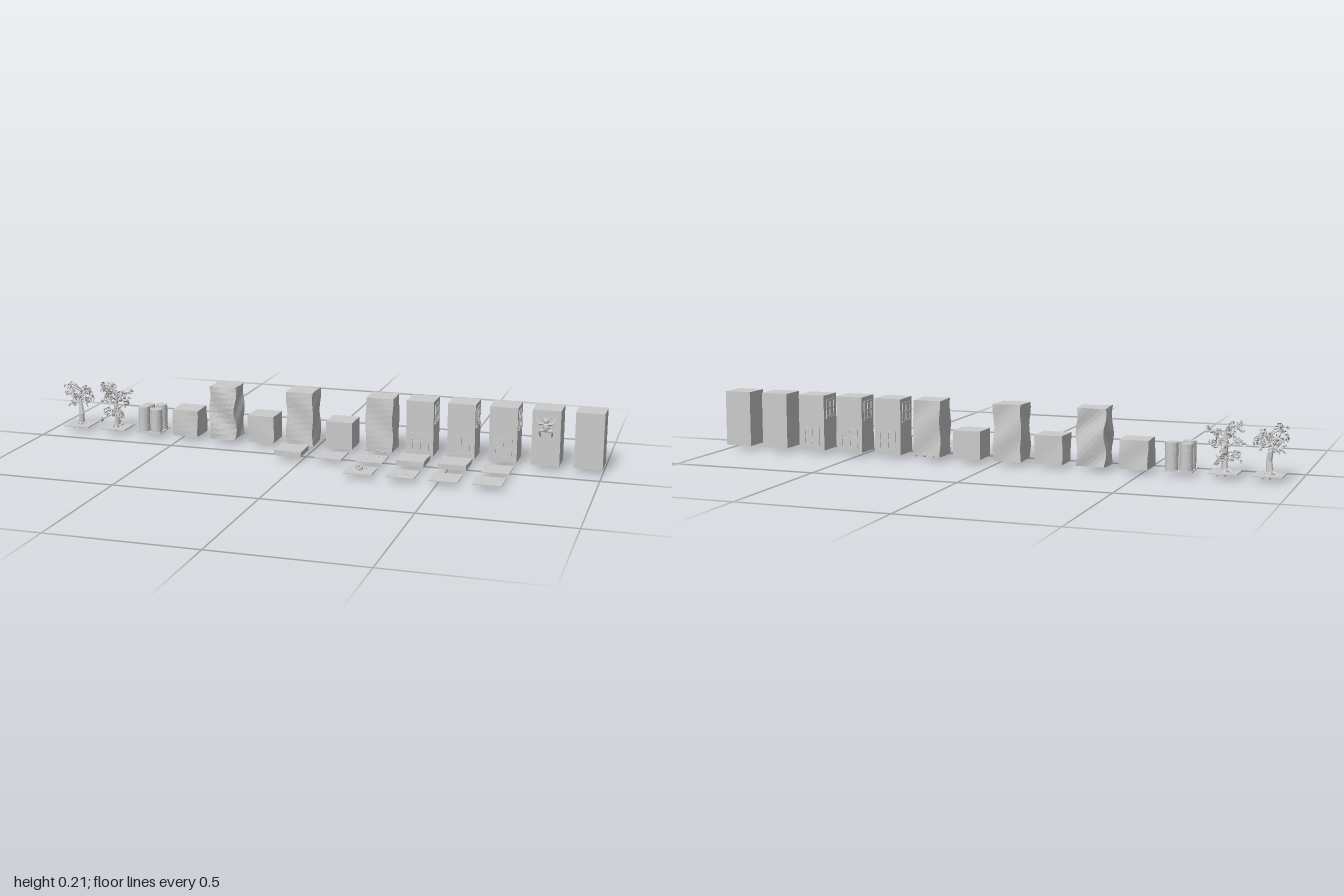
import * as THREE from 'three';

const T = 0.095, BASE = 0.015, PITCH = 0.1429;
const ROW = [-0.127, 0.015, 0.158];
const colX = (i) => 0.952 - i * PITCH;
const mat = new THREE.MeshStandardMaterial({ color: 0xcccccc, flatShading: true });
const smooth = new THREE.MeshStandardMaterial({ color: 0xcccccc });
const thin = new THREE.MeshStandardMaterial({ color: 0xcccccc, flatShading: true, side: THREE.DoubleSide });

let seed = 7;
const rnd = (a = 0, b = 1) => {
  seed = (seed * 16807) % 2147483647;
  return a + (b - a) * seed / 2147483647;
};
const V = (x, y, z) => new THREE.Vector3(x, y, z);

function add(parent, name, geo, x = 0, y = 0, z = 0, m = mat) {
  const mesh = new THREE.Mesh(geo, m);
  mesh.name = name;
  mesh.position.set(x, y, z);
  parent.add(mesh);
  return mesh;
}

// tapered round limb between two points
function limb(parent, name, a, b, r0, r1, sides = 6) {
  const d = b.clone().sub(a);
  const mid = a.clone().add(b).multiplyScalar(0.5);
  const m = add(parent, name, new THREE.CylinderGeometry(r1, r0, d.length(), sides), mid.x, mid.y, mid.z);
  m.quaternion.setFromUnitVectors(V(0, 1, 0), d.normalize());
  return m;
}

// box whose faces are pushed about by smooth waves
function roughBox(w, h, d, amp, phase) {
  const g = new THREE.BoxGeometry(w, h, d, 5, Math.max(1, Math.round(h / 0.02)), 5);
  const p = g.attributes.position;
  for (let i = 0; i < p.count; i++) {
    const x = p.getX(i), y = p.getY(i), z = p.getZ(i);
    p.setXYZ(i,
      x + amp * Math.sin(y * 50 + z * 35 + phase),
      y + (y > 0 ? 0.3 * amp * Math.sin(x * 70 + z * 50 + phase) : 0),
      z + amp * Math.sin(y * 43 + x * 40 + phase * 2));
  }
  g.computeVertexNormals();
  return g;
}

// empty group on one grid cell, with its origin at the tile's underside
function cell(root, name, i, row) {
  const g = new THREE.Group();
  g.name = name;
  g.position.set(colX(i), BASE, ROW[row]);
  root.add(g);
  return g;
}

function block(root, name, i, h, amp = 0) {
  const g = cell(root, name, i, 0);
  const geo = amp ? roughBox(T, h, T, amp, i * 1.7) : new THREE.BoxGeometry(T, h, T);
  add(g, 'wallBlock', geo, 0, h / 2, 0);
  return g;
}

// four-pane window facing +z
function makeWindow() {
  const g = new THREE.Group();
  g.name = 'window';
  const w = 0.062, h = 0.064, t = 0.006, d = 0.006;
  for (const s of [-1, 0, 1]) {
    add(g, 'windowPost', new THREE.BoxGeometry(t, h, d), s * (w - t) / 2, 0, 0);
    add(g, 'windowRail', new THREE.BoxGeometry(w, t, d), 0, s * (h - t) / 2, 0);
  }
  add(g, 'windowSill', new THREE.BoxGeometry(w + 0.006, 0.004, 0.009), 0, -h / 2, 0);
  return g;
}

function windowTower(root, i) {
  const g = block(root, 'windowTower', i, 0.19);
  for (let k = 0; k < 4; k++) {
    const w = makeWindow(), a = k * Math.PI / 2;
    w.position.set(Math.sin(a) * T / 2, k % 2 ? 0.143 : 0.048, Math.cos(a) * T / 2);
    w.rotation.y = a;
    g.add(w);
  }
}

// climbing figure with raised arms fixed to the front of a tower
function wallFigure(g) {
  const f = new THREE.Group();
  f.name = 'wallFigure';
  f.position.set(0, 0.135, T / 2 + 0.008);
  g.add(f);
  add(f, 'body', new THREE.SphereGeometry(0.013, 8, 6), 0, 0, 0).scale.set(0.9, 1.4, 0.8);
  add(f, 'head', new THREE.SphereGeometry(0.009, 8, 6), 0, 0.022, 0.006);
  for (const s of [-1, 1]) {
    limb(f, 'upperArm', V(s * 0.008, 0.01, 0), V(s * 0.024, 0.012, 0.004), 0.005, 0.004);
    limb(f, 'foreArm', V(s * 0.024, 0.012, 0.004), V(s * 0.034, 0.034, -0.003), 0.004, 0.003);
    limb(f, 'thigh', V(s * 0.006, -0.012, 0), V(s * 0.021, -0.013, 0.007), 0.006, 0.004);
    limb(f, 'shin', V(s * 0.021, -0.013, 0.007), V(s * 0.019, -0.034, -0.004), 0.004, 0.003);
    limb(f, 'horn', V(s * 0.005, 0.027, 0.006), V(s * 0.01, 0.037, 0.004), 0.003, 0.001, 5);
  }
}

function floorTile(g, h = 0.003) {
  add(g, 'floorTile', new THREE.BoxGeometry(T, h, T), 0, h / 2, 0);
}

function pebbles(g, n, size) {
  for (let k = 0; k < n; k++) {
    const s = rnd(0.5, 1) * size;
    const p = add(g, 'pebble', new THREE.IcosahedronGeometry(s, 0), rnd(-0.038, 0.038), 0.003, rnd(-0.038, 0.038));
    p.scale.y = 0.6;
    p.rotation.y = rnd(0, 6);
  }
}

// thick floor slab with a hollow underside
function slab(root, i) {
  const g = cell(root, 'floorSlab', i, 1), r = T / 2, q = r - 0.012;
  const s = new THREE.Shape([[-r, -r], [r, -r], [r, r], [-r, r]].map(([x, y]) => new THREE.Vector2(x, y)));
  s.holes.push(new THREE.Path([[-q, -q], [-q, q], [q, q], [q, -q]].map(([x, y]) => new THREE.Vector2(x, y))));
  const rim = new THREE.ExtrudeGeometry(s, { depth: 0.013, bevelEnabled: false }).rotateX(-Math.PI / 2);
  add(g, 'slabRim', rim);
  add(g, 'slabTop', roughBox(T + 0.002, 0.007, T + 0.002, 0.0015, i), 0, 0.0145, 0);
}

// leaf: a small diamond folded along its length
function leafGeometry(s) {
  const g = new THREE.PlaneGeometry(s, s, 2, 2);
  const p = g.attributes.position;
  for (let i = 0; i < p.count; i++) {
    const x = p.getX(i), y = p.getY(i);
    p.setXYZ(i, x * (1 - Math.abs(y) * 1.7 / s), y * 1.3, Math.abs(x) * 0.5);
  }
  return g;
}

function tree(root, i, { branches, leaves, low, lean }) {
  const g = cell(root, 'tree', i, 0);
  floorTile(g);
  const leaf = leafGeometry(0.013);
  const trunk = [V(0, 0, 0), V(0.004, 0.045, 0.003), V(-0.003, 0.09, -0.002), V(0.002, 0.135, 0)];
  const path = new THREE.CatmullRomCurve3(trunk);
  trunk.slice(1).forEach((b, k) => limb(g, 'trunk', trunk[k], b, 0.013 - k * 0.003, 0.01 - k * 0.003, 8));
  // roots
  for (let k = 0; k < 6; k++) {
    const a = k * Math.PI / 3 + 0.3;
    limb(g, 'root', V(0, 0.014, 0), V(Math.cos(a) * 0.03, -0.001 - (k % 3) * 0.004, Math.sin(a) * 0.03), 0.007, 0.003, 5);
  }
  limb(g, 'tapRoot', V(0, 0.004, 0), V(0, -BASE, 0), 0.008, 0.002, 5);
  // arching branches with leaves along the outer part
  for (let k = 0; k < branches; k++) {
    const a = k * 2.4 + 0.4, r = rnd(0.032, 0.062);
    const start = path.getPoint(rnd(low, 1));
    const tip = V(Math.cos(a) * r + lean, Math.min(start.y + rnd(-0.015, 0.03), 0.15), Math.sin(a) * r * 0.85);
    const mid = start.clone().lerp(tip, 0.55);
    mid.y += 0.018;
    const curve = new THREE.QuadraticBezierCurve3(start, mid, tip);
    add(g, 'branch', new THREE.TubeGeometry(curve, 6, 0.0028, 5));
    for (let j = 0; j < leaves; j++) {
      const c = curve.getPoint(rnd(0.45, 1));
      const m = add(g, 'leaf', leaf, c.x + rnd(-0.009, 0.009), c.y + rnd(-0.012, 0.01), c.z + rnd(-0.009, 0.009), thin);
      m.rotation.set(rnd(0, 6), rnd(0, 6), rnd(0, 6));
    }
  }
}

export function createModel() {
  const root = new THREE.Group();
  root.name = 'tileSet';

  // back row: towers and low blocks
  block(root, 'plainTower', 0, 0.19);
  wallFigure(block(root, 'figureTower', 1, 0.19));
  for (const i of [2, 3, 4]) windowTower(root, i);
  const ruin = block(root, 'roughTower', 5, 0.19, 0.002);
  for (let k = 0; k < 6; k++) {
    add(ruin, 'rubble', new THREE.IcosahedronGeometry(0.005, 0), -0.04 + k * 0.016, 0.004, (k % 2 ? -1 : 1) * T / 2);
  }
  block(root, 'lowBlock', 6, 0.095);
  block(root, 'roughTower', 7, 0.19, 0.0025);
  block(root, 'lowBlock', 8, 0.095, 0.001);
  block(root, 'roughTower', 9, 0.19, 0.0045);
  block(root, 'lowBlock', 10, 0.095, 0.0018);

  // cluster of round posts with bands
  const posts = cell(root, 'postCluster', 11, 0);
  floorTile(posts);
  const spots = [[-0.024, -0.024, 0.09], [0.024, -0.024, 0.093], [-0.024, 0.024, 0.093], [0.024, 0.024, 0.086], [0, 0, 0.08]];
  spots.forEach(([x, z, h], k) => {
    const r = k < 4 ? 0.021 : 0.013;
    add(posts, 'post', new THREE.CylinderGeometry(r, r, h, 14), x, h / 2, z);
    for (const y of [0.25, 0.75]) {
      add(posts, 'postBand', new THREE.CylinderGeometry(r + 0.0015, r + 0.0015, 0.005, 14), x, h * y, z);
    }
  });

  // trees
  tree(root, 12, { branches: 26, leaves: 7, low: 0.2, lean: 0 });
  tree(root, 13, { branches: 15, leaves: 7, low: 0.6, lean: -0.008 });

  // middle row: flat tiles and hollow slabs
  floorTile(cell(root, 'plainTile', 2, 1));
  for (const i of [3, 4, 7]) slab(root, i);
  const gravel = [cell(root, 'gravelTile', 5, 1), cell(root, 'gravelTile', 6, 1), cell(root, 'gravelTile', 4, 2)];
  gravel.forEach((g, k) => {
    floorTile(g);
    pebbles(g, [12, 12, 7][k], [0.007, 0.005, 0.005][k]);
  });

  // front row: plain tiles and a tile with stumps
  for (const i of [2, 3]) floorTile(cell(root, 'plainTile', i, 2));
  const stumps = cell(root, 'stumpTile', 5, 2);
  floorTile(stumps);
  [[-0.012, -0.004, 0.019], [0.002, 0.004, 0.016], [-0.004, 0.014, 0.011], [0.012, -0.012, 0.009]].forEach(([x, z, h]) => {
    add(stumps, 'stump', new THREE.CylinderGeometry(0.006, 0.007, h, 10), x, h / 2, z, smooth);
    add(stumps, 'stumpRoot', new THREE.ConeGeometry(0.013, 0.006, 7), x, 0.005, z);
  });
  return root;
}
